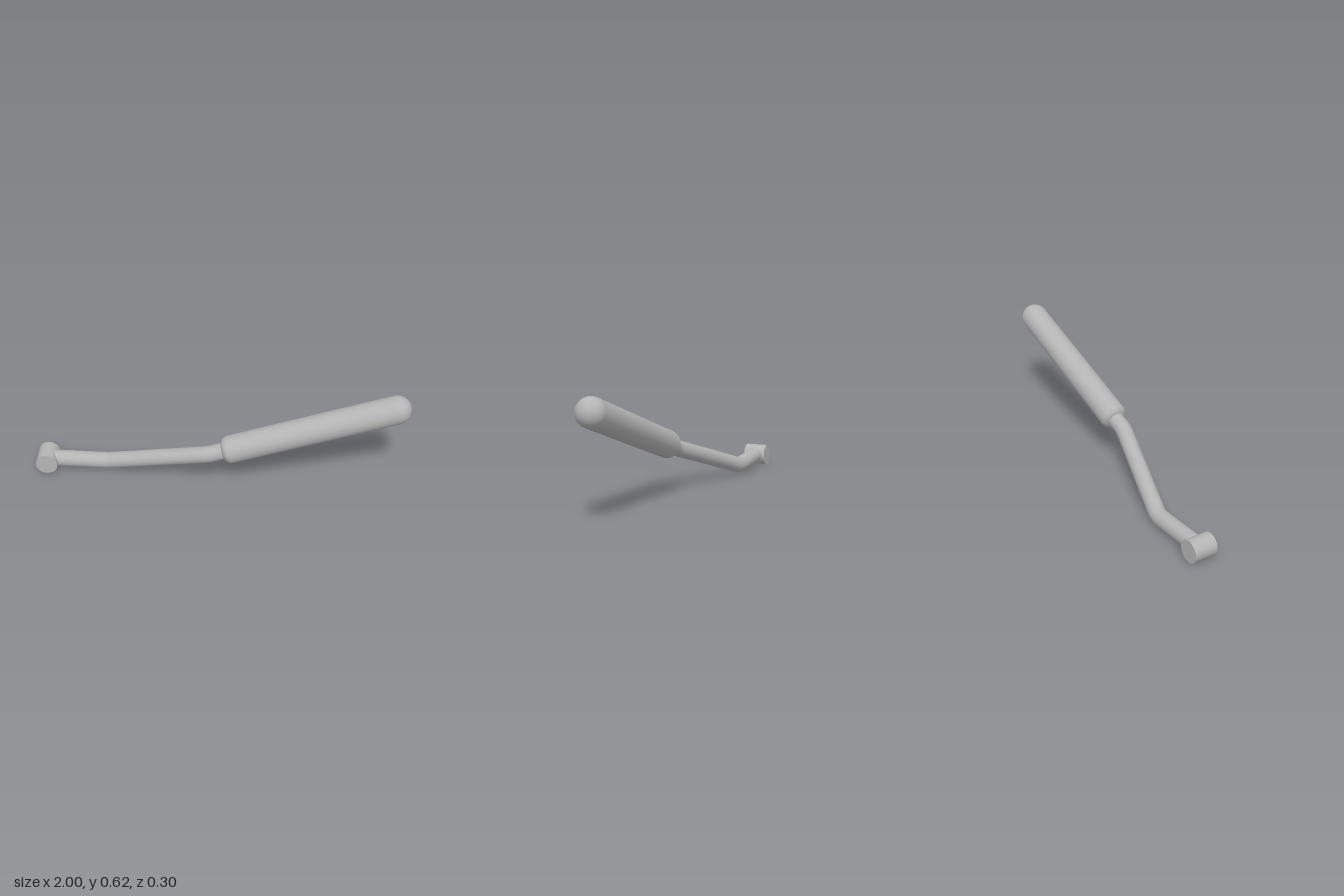
import * as THREE from 'three';

const V = (x, y, z) => new THREE.Vector3(x, y, z);

// Polyline path with softly rounded corners
function roundedPath(points, cut) {
  const path = new THREE.CurvePath();
  let start = points[0];
  for (let i = 1; i < points.length - 1; i++) {
    const p = points[i];
    const a = p.clone().add(points[i - 1].clone().sub(p).setLength(cut));
    const b = p.clone().add(points[i + 1].clone().sub(p).setLength(cut));
    path.add(new THREE.LineCurve3(start, a));
    path.add(new THREE.QuadraticBezierCurve3(a, p, b));
    start = b;
  }
  path.add(new THREE.LineCurve3(start, points[points.length - 1]));
  return path;
}

export function createModel() {
  const model = new THREE.Group();
  model.name = 'leverHandle';
  const grey = new THREE.MeshStandardMaterial({ color: 0xb4b4b4 });
  grey.name = 'grey metal';

  const add = (name, geometry) => {
    const mesh = new THREE.Mesh(geometry, grey);
    mesh.name = name;
    model.add(mesh);
    return mesh;
  };

  // Pivot barrel, lying along z
  const pivot = add('pivotBarrel', new THREE.CylinderGeometry(0.059, 0.059, 0.127, 64));
  pivot.rotation.x = Math.PI / 2;
  pivot.position.set(-0.941, 0.06, -0.0865);

  // Bent rod from the pivot into the grip
  const gripStart = V(0.035, 0.258, 0.075);
  const gripTip = V(0.925, 0.548, 0.075);
  const rodPath = roundedPath([
    V(-0.94, 0.062, -0.087),
    V(-0.605, 0.05, -0.087),
    V(-0.04, 0.233, 0.075),
    gripStart.clone().lerp(gripTip, 0.05),
  ], 0.035);
  add('bentRod', new THREE.TubeGeometry(rodPath, 140, 0.0445, 40));

  // Grip: filleted lower end, straight body, domed tip
  const r = 0.075, fillet = 0.04;
  const length = gripStart.distanceTo(gripTip);
  const profile = new THREE.Path();
  profile.moveTo(0, 0);
  profile.lineTo(r - fillet, 0);
  profile.absarc(r - fillet, fillet, fillet, -Math.PI / 2, 0, false);
  profile.lineTo(r, length);
  profile.absarc(0, length, r, 0, Math.PI / 2, false);
  const outline = profile.getPoints(16);
  outline[outline.length - 1].x = 0;
  const grip = add('grip', new THREE.LatheGeometry(outline, 64));
  grip.position.copy(gripStart);
  grip.quaternion.setFromUnitVectors(V(0, 1, 0), gripTip.clone().sub(gripStart).normalize());

  return model;
}
